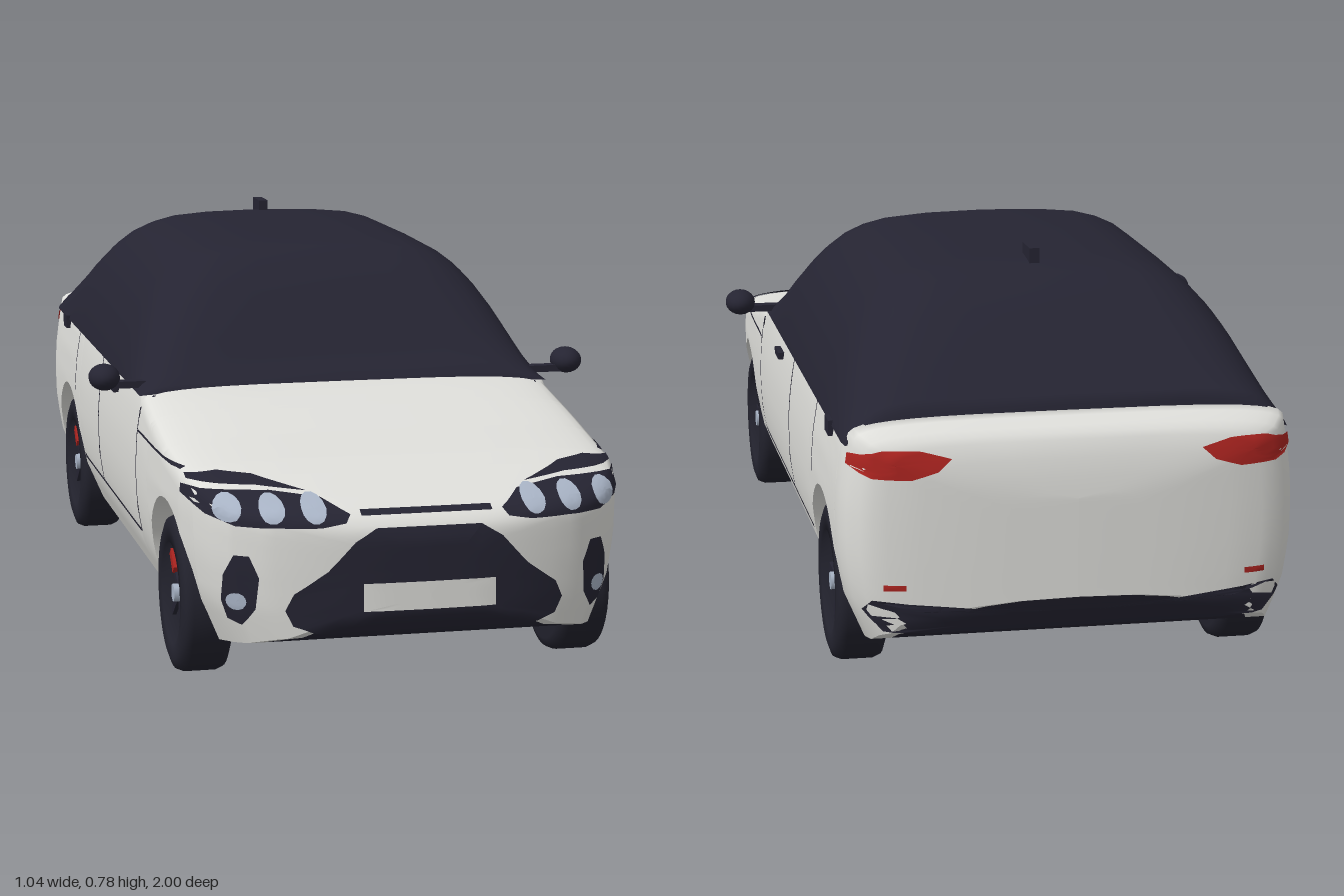
import * as THREE from 'three';

const mat = (name, color) => {
  const m = new THREE.MeshStandardMaterial({ color, side: THREE.DoubleSide });
  m.name = name;
  return m;
};

// Linear lookup in rows sorted by falling z
function look(rows, z, col) {
  if (z >= rows[0][0]) return rows[0][col];
  for (let i = 1; i < rows.length; i++) {
    const a = rows[i - 1], b = rows[i];
    if (z >= b[0]) return b[col] + (a[col] - b[col]) * (z - b[0]) / (a[0] - b[0]);
  }
  return rows[rows.length - 1][col];
}

// Skin a list of equally long cross-sections
function loft(sections) {
  const n = sections[0].length, idx = [];
  for (let i = 0; i < sections.length - 1; i++) {
    for (let j = 0; j < n - 1; j++) {
      const a = i * n + j, b = a + n;
      idx.push(a, a + 1, b, b, a + 1, b + 1);
    }
  }
  const g = new THREE.BufferGeometry();
  g.setAttribute('position', new THREE.Float32BufferAttribute(sections.flat(2), 3));
  g.setIndex(idx);
  g.computeVertexNormals();
  return g;
}

// Body stations: z, half width, top height
const BODY = [
  [0.992, 0, 0.325], [0.99, 0.1, 0.33], [0.98, 0.18, 0.35], [0.965, 0.245, 0.365],
  [0.94, 0.31, 0.377], [0.91, 0.355, 0.387], [0.87, 0.39, 0.402], [0.82, 0.413, 0.418],
  [0.75, 0.428, 0.433], [0.6, 0.435, 0.452], [0.46, 0.437, 0.476], [0.315, 0.438, 0.5],
  [0.3, 0.438, 0.49], [-0.88, 0.434, 0.49], [-0.9, 0.432, 0.535], [-0.93, 0.424, 0.53],
  [-0.96, 0.403, 0.518], [-0.98, 0.355, 0.497], [-0.99, 0.29, 0.465], [-0.996, 0.2, 0.43],
  [-0.999, 0.12, 0.4], [-1, 0, 0.39],
];
const BOTTOM = [
  [0.992, 0.19], [0.985, 0.168], [0.95, 0.135], [0.9, 0.117], [0.82, 0.106],
  [-0.855, 0.106], [-0.93, 0.118], [-0.97, 0.14], [-0.99, 0.175], [-1, 0.2],
];
// Side bulge: falling height, width factor
const SIDE = [[0.53, 0.945], [0.5, 0.96], [0.42, 0.99], [0.35, 1], [0.27, 0.995], [0.19, 0.965], [0.105, 0.88]];
// Cabin stations: z, top height
const CABIN = [
  [0.316, 0.488], [0.31, 0.506], [0.28, 0.523], [0.22, 0.58], [0.14, 0.665], [0.08, 0.715], [0.03, 0.742],
  [-0.03, 0.755], [-0.3, 0.758], [-0.52, 0.755], [-0.57, 0.75], [-0.62, 0.738], [-0.67, 0.714],
  [-0.72, 0.682], [-0.82, 0.605], [-0.88, 0.56], [-0.905, 0.545], [-0.907, 0.488],
];
const CABIN_SIDE = [[0, 1], [0.07, 0.99], [0.25, 0.95], [0.4, 0.905], [0.53, 0.86], [0.64, 0.81], [0.76, 0.74],
  [0.855, 0.66], [0.92, 0.57], [0.965, 0.46], [0.99, 0.28], [1, 0]];
const AXLES = [0.63, -0.667], ARCH = 0.187, BELT = 0.485;

function bottomAt(z) {
  for (const c of AXLES) {
    const d = Math.abs(z - c);
    if (d < ARCH) return 0.155 + Math.sqrt(ARCH * ARCH - d * d);
  }
  return look(BOTTOM, z, 1);
}

const mirrored = (half) => [...half, ...half.slice(0, -1).reverse().map(([x, y, z]) => [-x, y, z])];

function bodySection(z) {
  const w = look(BODY, z, 1), top = look(BODY, z, 2), low = bottomAt(z);
  const round = Math.min(z < 0.31 && z > -0.89 ? 0.005 : 0.045, 0.45 * (top - low));
  const shoulder = top - round, half = [];
  for (let i = 0; i <= 9; i++) {
    const y = low + (shoulder - low) * i / 9;
    half.push([w * look(SIDE, y, 1), y, z]);
  }
  for (let i = 1; i <= 9; i++) {
    const a = i / 9 * Math.PI / 2;
    const c = i === 9 ? 0 : Math.sqrt(Math.cos(a));
    half.push([w * look(SIDE, shoulder, 1) * c, shoulder + round * Math.sqrt(Math.sin(a)), z]);
  }
  return mirrored(half);
}

export function createModel() {
  const car = new THREE.Group();
  car.name = 'car';
  const paint = mat('body paint', 0xdededa), dark = mat('dark glass and trim', 0x252432);
  const rubber = mat('tyre rubber', 0x22222d), lamp = mat('lamp glass', 0xa9b4c6);
  const red = mat('red', 0xac2420);
  const add = (name, geo, material, parent = car) => {
    const m = new THREE.Mesh(geo, material);
    m.name = name;
    parent.add(m);
    return m;
  };

  // Painted shell, with extra stations round the wheel arches
  const zs = new Set([...BODY, ...BOTTOM].map((r) => r[0]));
  for (let z = -0.4; z < 0.45; z += 0.1) zs.add(z);
  for (const c of AXLES) {
    zs.add(c + ARCH + 0.0005).add(c - ARCH - 0.0005);
    for (let i = 0; i <= 20; i++) zs.add(c + ARCH * 0.99999 * Math.cos(i / 20 * Math.PI));
  }
  const sections = [...zs].sort((a, b) => b - a).map(bodySection);
  const shell = new THREE.Group();
  shell.name = 'shell';
  car.add(shell);
  add('bodyShell', loft(sections), paint, shell);

  // Underside: dark floor between painted edges
  const strip = (from, to) => loft(sections.map((s) => [from, to].map((f) => [s[0][0] * f, s[0][1], s[0][2]])));
  add('floor', strip(0.9, -0.9), dark, shell);
  add('sillEdgeLeft', strip(1, 0.9), paint, shell);
  add('sillEdgeRight', strip(-0.9, -1), paint, shell);

  // Dark glasshouse and roof
  add('cabin', loft(CABIN.map(([z, top]) => {
    const w = look(BODY, z, 1) * 0.977, h = top - BELT;
    const k = 0.35 + 0.65 * Math.min(1, h / 0.27);
    return mirrored(CABIN_SIDE.map(([u, f]) => [w * Math.pow(f, k), BELT + h * u, z]));
  })), dark);
  add('roofAerial', new THREE.BoxGeometry(0.02, 0.03, 0.07), dark).position.set(0, 0.762, -0.545);

  // Thin plates laid on the shell: points are (x, y) seen along z, or (z, y) seen along x
  shell.updateMatrixWorld(true);
  const ray = new THREE.Raycaster();
  function plate(name, pts, material, axis, sign, lift = 0.004) {
    const edge = [];
    pts.forEach(([a, b], i) => {
      const [c, d] = pts[(i + 1) % pts.length];
      const n = Math.max(1, Math.ceil(Math.hypot(c - a, d - b) / 0.025));
      for (let k = 0; k < n; k++) edge.push([a + (c - a) * k / n, b + (d - b) * k / n]);
    });
    edge.push(edge[0]);
    const ca = pts.reduce((s, p) => s + p[0], 0) / pts.length;
    const cb = pts.reduce((s, p) => s + p[1], 0) / pts.length;
    const dir = axis === 'z' ? new THREE.Vector3(0, 0, -sign) : new THREE.Vector3(-sign, 0, 0);
    let last = axis === 'z' ? 0.95 * sign : 0.43 * sign;
    const rings = [];
    for (let r = 0; r <= 6; r++) {
      rings.push(edge.map(([a, b]) => {
        const u = ca + (a - ca) * r / 6, v = cb + (b - cb) * r / 6;
        ray.set(axis === 'z' ? new THREE.Vector3(u, v, 3 * sign) : new THREE.Vector3(3 * sign, v, u), dir);
        const hit = ray.intersectObject(shell, true)[0];
        if (!hit) return axis === 'z' ? [u, v, last] : [last, v, u];
        last = hit.point[axis];
        const n = hit.face.normal;
        if (n.dot(dir) > 0) n.negate();
        return hit.point.addScaledVector(n, lift).toArray();
      }));
    }
    add(name, loft(rings), material);
  }
  const oval = (x, y, rx, ry) => Array.from({ length: 14 }, (_, i) =>
    [x + rx * Math.cos(i / 7 * Math.PI), y + ry * Math.sin(i / 7 * Math.PI)]);
  const rect = (x0, x1, y0, y1) => [[x0, y0], [x1, y0], [x1, y1], [x0, y1]];
  const both = (half) => [...half, ...half.slice().reverse().map(([x, y]) => [-x, y])];

  // Nose and tail details on the centre line
  plate('grille', both([[0.1, 0.343], [0.14, 0.32], [0.19, 0.265], [0.25, 0.222], [0.265, 0.19], [0.25, 0.16], [0.2, 0.146]]), dark, 'z', 1);
  plate('frontNumberPlate', rect(-0.125, 0.125, 0.19, 0.243), paint, 'z', 1, 0.009);
  plate('bonnetSlit', rect(-0.125, 0.125, 0.363, 0.371), dark, 'z', 1);
  plate('rearBumperTrim', both([[0.3, 0.185], [0.38, 0.205], [0.395, 0.185], [0.36, 0.145], [0.28, 0.14]]), dark, 'z', -1);

  for (const s of [1, -1]) {
    const flip = (pts) => pts.map(([x, y]) => [x * s, y]);
    const side = s > 0 ? 'Left' : 'Right';
    // Headlights, fog lamps and tail lamps
    plate('headlight' + side, flip([[0.145, 0.365], [0.19, 0.388], [0.28, 0.398], [0.422, 0.398], [0.424, 0.382],
      [0.395, 0.36], [0.35, 0.345], [0.2, 0.345], [0.155, 0.352]]), dark, 'z', 1);
    plate('headlightBrow' + side, flip([[0.21, 0.396], [0.3, 0.417], [0.36, 0.42], [0.415, 0.413], [0.415, 0.406], [0.3, 0.404]]), dark, 'z', 1);
    for (const x of [0.21, 0.285, 0.36]) plate('lamp' + side, flip(oval(x, 0.372, 0.023, 0.021)), lamp, 'z', 1, 0.008);
    plate('fogVent' + side, flip([[0.327, 0.29], [0.353, 0.29], [0.368, 0.25], [0.37, 0.2], [0.358, 0.165], [0.335, 0.156],
      [0.315, 0.19], [0.31, 0.25]]), dark, 'z', 1);
    plate('fogLamp' + side, flip(oval(0.345, 0.203, 0.016, 0.016)), lamp, 'z', 1, 0.008);
    plate('tailLamp' + side, flip([[0.235, 0.472], [0.29, 0.487], [0.36, 0.488], [0.415, 0.475], [0.418, 0.455], [0.38, 0.437],
      [0.31, 0.435], [0.26, 0.45]]), red, 'z', -1);
    plate('rearReflector' + side, flip(rect(0.32, 0.36, 0.225, 0.236)), red, 'z', -1);

    // Shut lines
    const line = (z0, z1, y0, y1) => plate('shutLine' + side, rect(z0, z1, y0, y1), dark, 'x', s, 0.002);
    line(0.322, 0.328, 0.21, 0.485);
    line(-0.185, -0.177, 0.21, 0.485);
    line(-0.541, -0.535, 0.34, 0.485);
    line(-0.48, 0.325, 0.207, 0.213);
    line(0.33, 0.72, 0.415, 0.42);

    // Handles and door mirrors
    add('doorHandle' + side, new THREE.BoxGeometry(0.014, 0.014, 0.065), dark).position.set(s * 0.432, 0.452, 0.012);
    add('rearHandle' + side, new THREE.BoxGeometry(0.014, 0.03, 0.05), dark).position.set(s * 0.424, 0.48, -0.73);
    const mirror = add('mirror' + side, new THREE.SphereGeometry(1, 20, 14), dark);
    mirror.scale.set(0.032, 0.027, 0.042);
    mirror.position.set(s * 0.49, 0.515, 0.25);
    add('mirrorArm' + side, new THREE.BoxGeometry(0.09, 0.014, 0.025), dark).position.set(s * 0.435, 0.5, 0.255);

    // Wheels: tyre with a recessed rim, hub and caliper
    const tyre = new THREE.LatheGeometry([[0.001, -0.05], [0.13, -0.05], [0.147, -0.044], [0.153, -0.03], [0.153, 0.03],
      [0.147, 0.044], [0.13, 0.05], [0.1, 0.048], [0.095, 0.025], [0.001, 0.025]].map((p) => new THREE.Vector2(...p)), 40);
    for (const z of AXLES) {
      const wheel = new THREE.Group();
      wheel.name = (z > 0 ? 'front' : 'rear') + 'Wheel' + side;
      wheel.position.set(s * 0.375, 0.153, z);
      car.add(wheel);
      add('tyre', tyre, rubber, wheel).rotation.z = -s * Math.PI / 2;
      const hub = add('hub', new THREE.CylinderGeometry(0.018, 0.018, 0.02, 8), lamp, wheel);
      hub.rotation.z = Math.PI / 2;
      hub.position.x = s * 0.034;
      const caliper = add('caliper', new THREE.BoxGeometry(0.014, 0.02, 0.045), red, wheel);
      caliper.position.set(s * 0.031, 0.053, -0.045);
      caliper.rotation.x = Math.PI / 4;
      for (let i = 0; i < 5; i++) {
        const a = i / 5 * Math.PI * 2 + 0.3;
        const spoke = add('spoke', new THREE.BoxGeometry(0.01, 0.075, 0.016), dark, wheel);
        spoke.position.set(s * 0.028, 0.055 * Math.cos(a), 0.055 * Math.sin(a));
        spoke.rotation.x = a;
      }
    }
  }
  return car;
}
